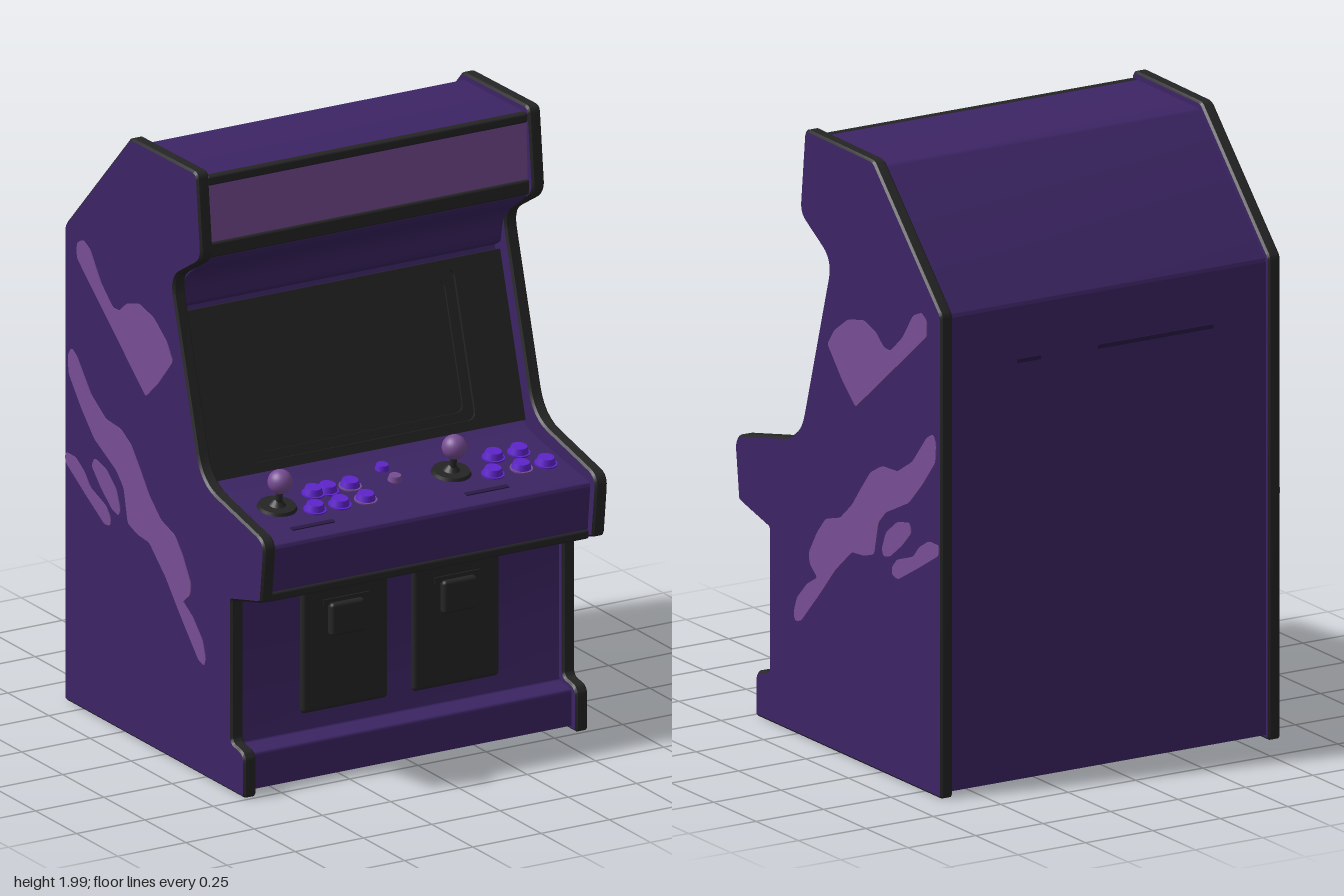
import * as THREE from 'three';
import { toCreasedNormals } from 'three/addons/utils/BufferGeometryUtils.js';
import { RoundedBoxGeometry } from 'three/addons/geometries/RoundedBoxGeometry.js';

const mat = (name, color) => Object.assign(new THREE.MeshStandardMaterial({ color }), { name });

const HALF = 0.63;      // half the cabinet width
const INNER = 0.588;    // inner face of the side panels
const SLOPE = 0.162;    // tilt of the control deck

// Side outline as [z, y, corner radius]
const sideOutline = [
  [0.49, 0.005, 0.01], [0.49, 0.155, 0.035], [0.41, 0.168, 0.02], [0.41, 0.64, 0.005],
  [0.59, 0.685, 0.01], [0.615, 0.895, 0.05], [0.23, 0.98, 0.09], [0.045, 1.605, 0.06],
  [0.23, 1.715, 0.04], [0.2, 2.0, 0.025], [-0.205, 1.995, 0.015], [-0.605, 1.587, 0.015],
  [-0.605, 0.005, 0.01],
];
const bodyOutline = [
  [0.462, 0.02, 0], [0.462, 0.14, 0.01], [0.388, 0.15, 0.01], [0.388, 0.668, 0],
  [0.56, 0.695, 0.01], [0.578, 0.862, 0.015], [0.25, 0.915, 0.03], [0.155, 0.945, 0],
  [-0.005, 1.48, 0], [0.03, 1.5, 0.01], [0.05, 1.6, 0.05], [0.19, 1.7, 0.01],
  [0.178, 1.975, 0.005], [-0.195, 1.972, 0.01], [-0.588, 1.577, 0.01], [-0.588, 0.02, 0],
];

// Painted side shapes as [z, y]
const decals = [
  [[.06, 1.33], [.02, 1.385], [-.06, 1.44], [-.15, 1.46], [-.22, 1.44], [-.27, 1.40], [-.31, 1.40],
    [-.38, 1.46], [-.445, 1.55], [-.49, 1.57], [-.525, 1.55], [-.525, 1.50], [-.105, 1.165], [-.03, 1.23]],
  [[.165, .585], [.17, .62], [.12, .70], [.07, .755], [-.015, .78], [-.085, .84], [-.14, .91],
    [-.195, .975], [-.26, 1.01], [-.35, 1.015], [-.44, 1.07], [-.525, 1.17], [-.56, 1.19],
    [-.58, 1.16], [-.575, 1.10], [-.5, 1.01], [-.42, .93], [-.285, .865], [-.24, .82],
    [-.215, .71], [-.155, .69], [-.085, .685], [.015, .60], [.1, .505], [.215, .385],
    [.25, .375], [.26, .40], [.24, .455], [.18, .515], [.12, .55]],
  [[-.26, .74], [-.285, .80], [-.35, .85], [-.42, .865], [-.435, .835], [-.38, .78], [-.31, .727], [-.27, .717]],
  [[-.32, .695], [-.35, .727], [-.445, .76], [-.48, .80], [-.535, .833], [-.595, .833],
    [-.595, .80], [-.47, .727], [-.355, .663], [-.32, .67]],
];

// Closed outline with each corner rounded by its radius
function roundedShape(points) {
  const p = points.map(([z, y]) => new THREE.Vector2(-z, y));
  const shape = new THREE.Shape();
  p.forEach((c, i) => {
    const r = points[i][2] || 0;
    const toward = (q) => q.clone().sub(c).setLength(r).add(c);
    const a = toward(p[(i + p.length - 1) % p.length]), b = toward(p[(i + 1) % p.length]);
    if (i === 0) shape.moveTo(a.x, a.y); else shape.lineTo(a.x, a.y);
    if (r > 0) shape.quadraticCurveTo(c.x, c.y, b.x, b.y);
  });
  shape.closePath();
  return shape;
}

// Extrudes a z-y outline across the cabinet from x0 to x1
function acrossX(shape, x0, x1, bevel = 0) {
  const geo = new THREE.ExtrudeGeometry(shape, {
    depth: x1 - x0 - 2 * bevel, curveSegments: 6, bevelEnabled: bevel > 0,
    bevelThickness: bevel, bevelSize: bevel, bevelOffset: -bevel, bevelSegments: 1,
  });
  geo.translate(0, 0, x0 + bevel).rotateY(Math.PI / 2);
  return toCreasedNormals(geo, 0.6);
}

function rect(path, w, h, r) {
  const x = w / 2, y = h / 2;
  path.moveTo(-x + r, -y).lineTo(x - r, -y).quadraticCurveTo(x, -y, x, -y + r);
  path.lineTo(x, y - r).quadraticCurveTo(x, y, x - r, y);
  path.lineTo(-x + r, y).quadraticCurveTo(-x, y, -x, y - r);
  path.lineTo(-x, -y + r).quadraticCurveTo(-x, -y, -x + r, -y);
  return path;
}

function frame(w, h, holeW, holeH, depth) {
  const shape = rect(new THREE.Shape(), w, h, 0.002);
  shape.holes.push(rect(new THREE.Path(), holeW, holeH, 0.03));
  return new THREE.ExtrudeGeometry(shape, { depth, bevelEnabled: false });
}

export function createModel() {
  const purple = mat('cabinet purple', 0x3d2565);
  const black = mat('black trim', 0x252525);
  const lilac = mat('lilac', 0x784d94);
  const violet = mat('button violet', 0x5f24cc);
  const dark = mat('slot dark purple', 0x2a1a46);

  const model = new THREE.Group();
  model.name = 'arcadeCabinet';
  const add = (name, geo, material, x = 0, y = 0, z = 0, rx = 0, parent = model) => {
    const mesh = new THREE.Mesh(geo, material);
    mesh.name = name;
    mesh.position.set(x, y, z);
    mesh.rotation.x = rx;
    parent.add(mesh);
    return mesh;
  };
  const box = (w, h, d) => new THREE.BoxGeometry(w, h, d);

  // Cabinet body and side panels with black edging
  add('body', acrossX(roundedShape(bodyOutline), -INNER, INNER), purple);
  const side = roundedShape(sideOutline);
  add('leftSidePanel', acrossX(side, INNER - 0.003, HALF, 0.007), [purple, black]);
  add('rightSidePanel', acrossX(side, -HALF, -INNER + 0.003, 0.007), [purple, black]);

  // Painted shapes on both sides
  decals.forEach((points) => {
    const shape = roundedShape(points.map(([z, y]) => [z, y, 0.012]));
    add('leftSideStripe', acrossX(shape, HALF - 0.001, HALF + 0.003), lilac);
    add('rightSideStripe', acrossX(shape, -HALF - 0.003, -HALF + 0.001), lilac);
  });

  // Marquee with trim above and below
  const width = 2 * INNER;
  add('marquee', box(width, 0.2, 0.012), lilac, 0, 1.853, 0.186, -0.045);
  add('marqueeLowerTrim', new RoundedBoxGeometry(width, 0.05, 0.035, 2, 0.008), black, 0, 1.733, 0.188);
  add('marqueeUpperTrim', new RoundedBoxGeometry(width, 0.032, 0.03, 2, 0.008), black, 0, 1.961, 0.181);

  // Screen: outer bezel, stepped inner bezel and glass
  const screen = new THREE.Group();
  screen.name = 'screen';
  screen.position.set(0, 1.213, 0.1);
  screen.rotation.x = -0.29;
  model.add(screen);
  add('outerBezel', frame(width, 0.545, 0.82, 0.48, 0.018), black, 0, 0, -0.012, 0, screen);
  add('innerBezel', frame(0.84, 0.5, 0.75, 0.42, 0.012), black, 0, 0, -0.016, 0, screen);
  add('glass', box(0.84, 0.5, 0.01), black, 0, 0, -0.016, 0, screen);

  // Trim below the control deck
  add('deckTrim', new RoundedBoxGeometry(width, 0.03, 0.035, 2, 0.008), black, 0, 0.688, 0.551);

  // Coin doors with raised slots
  for (const x of [-0.207, 0.2]) {
    add('coinDoor', new RoundedBoxGeometry(0.315, 0.425, 0.03, 3, 0.014), black, x, 0.423, 0.39);
    add('coinSlot', new RoundedBoxGeometry(0.125, 0.11, 0.04, 2, 0.012), black, x + Math.sign(x) * 0.002, 0.512, 0.408);
    add('coinSlotLip', box(0.165, 0.02, 0.02), black, x, 0.57, 0.4);
  }

  // Parts standing on the sloping control deck
  const deckY = (z) => 0.862 + 0.163 * (0.575 - z);
  const onDeck = (name, geo, material, x, z, lift) =>
    add(name, geo, material, x, deckY(z) + lift, z, SLOPE);

  const button = new THREE.CylinderGeometry(0.026, 0.034, 0.026, 20);
  const collar = new THREE.CylinderGeometry(0.037, 0.037, 0.006, 20);
  const smallButton = new THREE.CylinderGeometry(0.019, 0.024, 0.022, 16);
  const rows = [
    [0.32, [-0.275, -0.223, -0.14, 0.385, 0.478]],
    [0.415, [-0.326, -0.235, -0.14, 0.326, 0.43, 0.52]],
  ];
  for (const [z, xs] of rows) {
    for (const x of xs) {
      onDeck('buttonCollar', collar, x === -0.14 || x === 0.43 ? lilac : violet, x, z, 0.002);
      onDeck('button', button, violet, x, z, 0.012);
    }
  }
  onDeck('startButton', smallButton, violet, 0.015, 0.257, 0.008);
  onDeck('startButton', smallButton, lilac, 0.015, 0.335, 0.008);

  // Joysticks and the narrow slots in front of them
  for (const x of [-0.43, 0.208]) {
    onDeck('joystickBase', new THREE.CylinderGeometry(0.06, 0.066, 0.014, 28), black, x, 0.357, 0.004);
    onDeck('joystickBoot', new THREE.CylinderGeometry(0.012, 0.032, 0.025, 20), black, x, 0.36, 0.018);
    add('joystickShaft', new THREE.CylinderGeometry(0.011, 0.011, 0.1, 12), black, x, 0.935, 0.369, SLOPE);
    add('joystickBall', new THREE.SphereGeometry(0.04, 24, 16), lilac, x, 0.99, 0.376);
    onDeck('deckSlot', box(0.155, 0.006, 0.018), dark, x + 0.043, 0.502, 0.001);
  }

  // Vent slots on the back
  add('backVent', box(0.43, 0.014, 0.006), dark, -0.175, 1.39, -0.588);
  add('backVent', box(0.09, 0.014, 0.006), dark, 0.295, 1.39, -0.588);

  return model;
}
